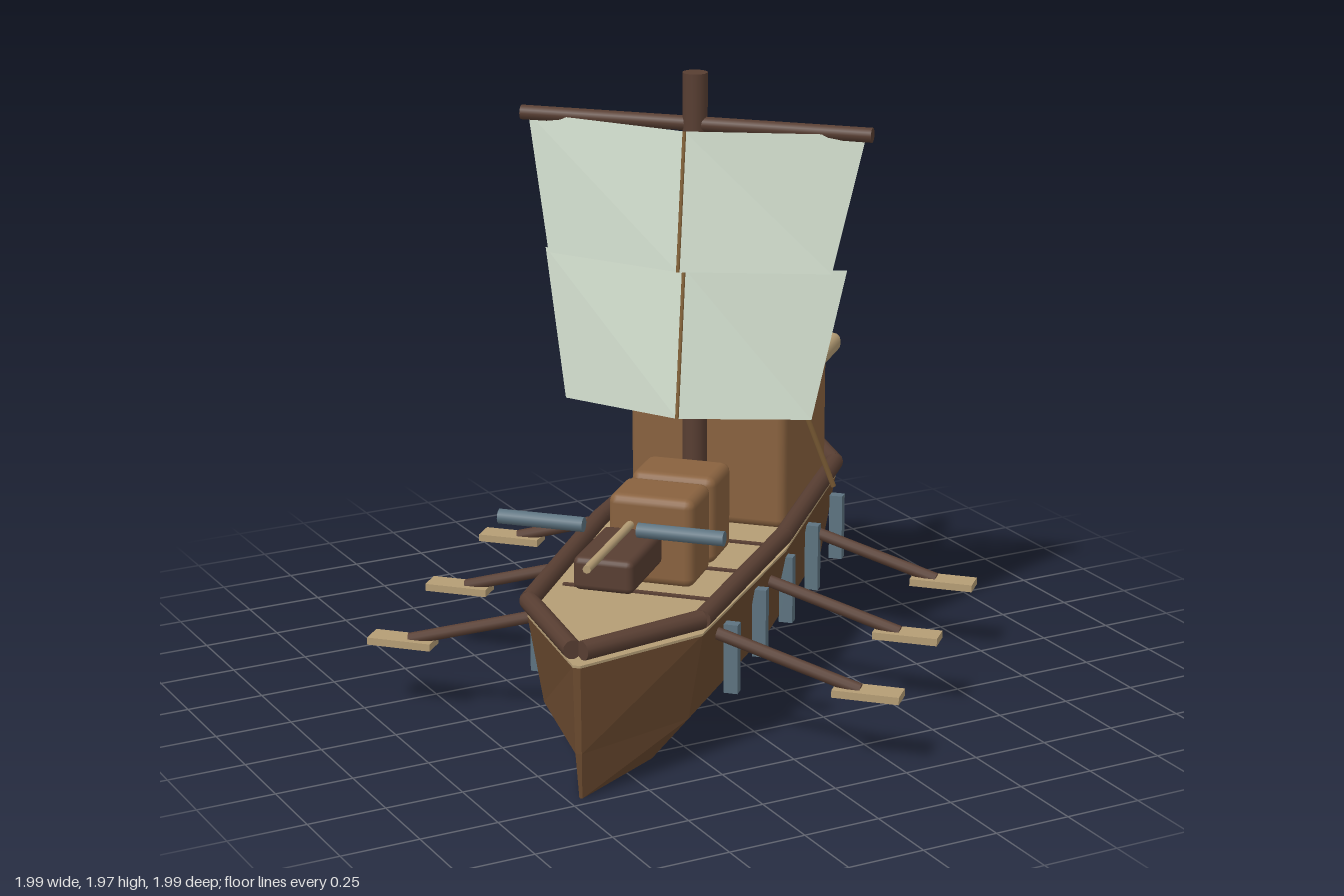
import * as THREE from 'three';
import { RoundedBoxGeometry } from 'three/addons/geometries/RoundedBoxGeometry.js';

const mat = (name, color, extra = {}) =>
  Object.assign(new THREE.MeshStandardMaterial({ color, ...extra }), { name });

export function createModel() {
  const hullWood = mat('hull wood', 0x6b4a2f, { flatShading: true });
  const crateWood = mat('crate wood', 0x89623f);
  const darkWood = mat('dark wood', 0x583e32);
  const paleWood = mat('pale wood', 0xb59d75);
  const canvas = mat('sail canvas', 0xcfdbcb, { side: THREE.DoubleSide, flatShading: true });
  const iron = mat('blue iron', 0x5d7380);
  const ropeFibre = mat('rope', 0x86643a);

  // Boat space: x runs stern to bow, z runs across; turned diagonally at the end.
  const boat = new THREE.Group();
  boat.name = 'boat';
  boat.rotation.y = Math.PI / 4;

  const add = (name, geo, material, x = 0, y = 0, z = 0) => {
    const m = new THREE.Mesh(geo, material);
    m.name = name;
    m.position.set(x, y, z);
    boat.add(m);
    return m;
  };
  const box = (name, w, h, d, material, x, y, z) =>
    add(name, new THREE.BoxGeometry(w, h, d), material, x, y, z);
  const rounded = (name, w, h, d, r, material, x, y, z) =>
    add(name, new RoundedBoxGeometry(w, h, d, 2, r), material, x, y, z);
  const up = new THREE.Vector3(0, 1, 0);
  const rod = (name, from, to, r, material, sides = 12) => {
    const a = new THREE.Vector3(...from), b = new THREE.Vector3(...to);
    const dir = b.clone().sub(a);
    const m = add(name, new THREE.CylinderGeometry(r, r, dir.length(), sides), material);
    m.position.copy(a).add(b).multiplyScalar(0.5);
    m.quaternion.setFromUnitVectors(up, dir.normalize());
    return m;
  };

  // Hull: one outline repeated at three heights, narrowing towards the bottom
  const half = [[-1.03, 0.012], [-0.67, 0.28], [0.13, 0.32], [0.92, 0.28], [1.27, 0.05]];
  const outline = [...half, ...half.slice().reverse().map(([x, z]) => [x, -z])];
  const levels = [[0, 0.975, 0.4], [0.15, 0.99, 0.83], [0.43, 1, 1]];
  const rings = levels.map(([y, fx, fz]) =>
    outline.map(([x, z]) => [0.13 + (x - 0.13) * fx, y, z * fz]));
  const pos = [];
  const n = outline.length;
  for (let k = 0; k < 2; k++) {
    for (let i = 0; i < n; i++) {
      const j = (i + 1) % n, lo = rings[k], hi = rings[k + 1];
      pos.push(...lo[i], ...lo[j], ...hi[j], ...lo[i], ...hi[j], ...hi[i]);
    }
  }
  for (let i = 1; i < n - 1; i++) pos.push(...rings[0][0], ...rings[0][i + 1], ...rings[0][i]);
  const hullGeo = new THREE.BufferGeometry();
  hullGeo.setAttribute('position', new THREE.Float32BufferAttribute(pos, 3));
  hullGeo.computeVertexNormals();
  add('hull', hullGeo, hullWood);

  // Deck with cross seams
  const deckShape = new THREE.Shape(outline.map(([x, z]) => new THREE.Vector2(x, z)));
  const deckGeo = new THREE.ExtrudeGeometry(deckShape, { depth: 0.008, bevelEnabled: false });
  deckGeo.rotateX(-Math.PI / 2);
  add('deck', deckGeo, paleWood, 0, 0.427, 0);
  for (let i = 0; i < 6; i++) box('deckSeam', 0.018, 0.01, 0.52, darkWood, -0.39 + i * 0.268, 0.436, 0);

  // Gunwale rails, iron straps and oars on both sides
  const railPath = [[-1.02, 0.015], [-0.67, 0.275], [0.13, 0.31], [0.92, 0.275], [1.27, 0.065]];
  for (const side of [-1, 1]) {
    for (let i = 0; i < 4; i++) {
      const [x0, z0] = railPath[i], [x1, z1] = railPath[i + 1];
      rod('rail', [x0, 0.48, side * z0], [x1, 0.48, side * z1], 0.03, darkWood);
    }
    for (let i = 0; i < 5; i++) {
      box('hullStrap', 0.035, 0.225, 0.045, iron, -0.47 + i * 0.32, 0.287, side * 0.314);
    }
    for (let i = -1; i <= 1; i++) {
      rod('oarShaft', [i * 0.51, 0.38, side * 0.27], [i * 0.51, 0.245, side * 0.73], 0.02, darkWood, 10);
      box('oarBlade', 0.08, 0.024, 0.21, paleWood, i * 0.51, 0.237, side * 0.755);
    }
  }

  // Cabin and crates
  rounded('cabin', 0.53, 0.47, 0.53, 0.03, crateWood, 0.58, 0.665, 0);
  rounded('cabinRoof', 0.61, 0.065, 0.61, 0.028, paleWood, 0.585, 0.922, 0);
  for (const x of [-0.21, 0.02]) rounded('crate', 0.2, 0.29, 0.28, 0.03, crateWood, x, 0.575, 0);

  // Stern bolt thrower
  rounded('launcherBody', 0.31, 0.105, 0.19, 0.02, darkWood, -0.63, 0.627, 0);
  rod('launcherBolt', [-0.93, 0.7, 0], [-0.51, 0.7, 0], 0.013, paleWood, 8);
  for (const side of [-1, 1]) {
    rod('launcherArm', [-0.7, 0.755, side * 0.085], [-0.7, 0.755, side * 0.355], 0.023, iron);
  }

  // Mast, yard and stays
  rod('mast', [0.17, 0.43, 0], [0.17, 1.97, 0], 0.04, darkWood, 16);
  rod('yard', [0.165, 1.807, -0.575], [0.165, 1.807, 0.575], 0.024, darkWood);
  for (const side of [-1, 1]) {
    rod('stay', [0.18, 1.8, 0], [0.635, 0.49, side * 0.345], 0.009, ropeFibre, 8);
  }

  // Two folded sail panels: [height, centre x, edge x, half width] at top and bottom
  const panels = [
    [[1.805, 0.055, 0.17, 0.555], [1.37, -0.015, 0.1, 0.467]],
    [[1.368, 0.05, 0.166, 0.5], [0.892, -0.025, 0.09, 0.41]],
  ];
  for (const [t, b] of panels) {
    const row = ([y, c, e, w]) => [[e, y, -w], [c, y, 0], [e, y, w]];
    const geo = new THREE.BufferGeometry();
    geo.setAttribute('position', new THREE.Float32BufferAttribute([...row(t), ...row(b)].flat(), 3));
    geo.setIndex([0, 3, 4, 0, 4, 1, 1, 4, 5, 1, 5, 2]);
    geo.computeVertexNormals();
    add('sail', geo, canvas);
    rod('sailSeam', [t[1], t[0], 0], [b[1], b[0], 0], 0.006, ropeFibre, 6);
  }

  const model = new THREE.Group();
  model.name = 'sailingBoat';
  model.add(boat);
  return model;
}
